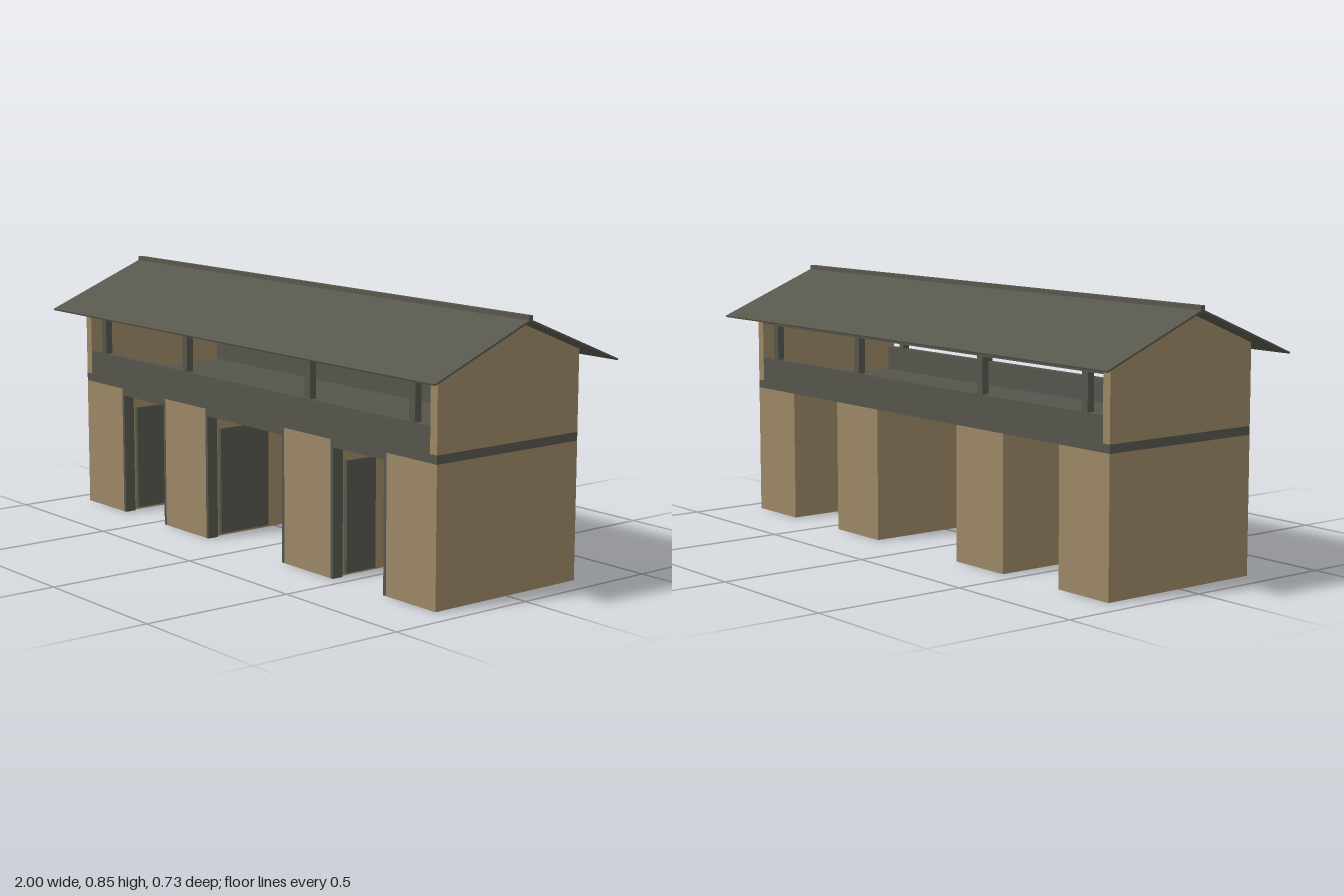
import * as THREE from 'three';

const material = (name, color) => {
  const m = new THREE.MeshStandardMaterial({ color });
  m.name = name;
  return m;
};

export function createModel() {
  const model = new THREE.Group();
  model.name = 'gatehouse';
  const wall = material('ochre wall', 0x9b8764);
  const timber = material('dark timber', 0x55554d);
  const roofing = material('grey roof', 0x57574c);

  const add = (name, geometry, mat) => {
    const mesh = new THREE.Mesh(geometry, mat);
    mesh.name = name;
    model.add(mesh);
    return mesh;
  };
  // Box given by its lower and upper limits on each axis
  const box = (name, mat, x0, x1, y0, y1, z0, z1) => {
    const mesh = add(name, new THREE.BoxGeometry(x1 - x0, y1 - y0, z1 - z0), mat);
    mesh.position.set((x0 + x1) / 2, (y0 + y1) / 2, (z0 + z1) / 2);
    return mesh;
  };
  // Outline in (z, y), extruded along x from x0 to x1
  const slice = (name, mat, points, x0, x1) => {
    const shape = new THREE.Shape(points.map(([z, y]) => new THREE.Vector2(-z, y)));
    const g = new THREE.ExtrudeGeometry(shape, { depth: x1 - x0, bevelEnabled: false });
    g.rotateY(Math.PI / 2);
    g.translate(x0, 0, 0);
    return add(name, g, mat);
  };

  const depth = 0.283;

  // Four masonry piers and the floor they carry
  const piers = [[-0.92, -0.7], [-0.44, -0.21], [0.21, 0.44], [0.7, 0.92]];
  for (const [x0, x1] of piers) box('pier', wall, x0, x1, 0, 0.434, -depth, depth);
  box('floorSlab', timber, -0.92, 0.92, 0.434, 0.461, -depth, depth);

  // Three gateways: jambs, lintel, and a pair of leaves opened inward
  for (let i = 0; i < 3; i++) {
    const left = piers[i][1], right = piers[i + 1][0];
    const leaf = (right - left) / 2 - 0.015;
    box('gateLintel', timber, left, right, 0.41, 0.434, 0.245, depth);
    for (const [x, s] of [[left, 1], [right, -1]]) {
      const span = (a, b) => [x + s * a, x + s * b].sort((p, q) => p - q);
      box('gateJamb', timber, ...span(0, 0.012), 0, 0.41, 0.245, depth);
      box('gateLeaf', timber, ...span(0.009, 0.022), 0.012, 0.365, 0.237 - leaf, 0.237);
    }
  }

  // Gable end walls
  const gable = [[depth, 0.461], [depth, 0.714], [0, 0.829], [-depth, 0.714], [-depth, 0.461]];
  slice('gableWall', wall, gable, 0.89, 0.92);
  slice('gableWall', wall, gable, -0.92, -0.89);

  // Open gallery: parapets, posts and eaves beams on both long sides
  for (const s of [1, -1]) {
    const z = s * 0.27;
    box('parapet', timber, -0.89, 0.89, 0.461, 0.542, z - 0.013, z + 0.013);
    box('eavesBeam', timber, -0.89, 0.89, 0.66, 0.695, z - 0.013, z + 0.013);
    for (const x of [-0.81, -0.325, 0.325, 0.81])
      box('galleryPost', timber, x - 0.013, x + 0.013, 0.542, 0.66, z - 0.012, z + 0.012);
  }

  // Thin pitched roof and ridge cap
  slice('roof', roofing, [
    [0, 0.836], [0.367, 0.686], [0.365, 0.681], [0, 0.829], [-0.365, 0.681], [-0.367, 0.686],
  ], -1, 1);
  box('ridgeCap', roofing, -1, 1, 0.832, 0.847, -0.008, 0.008);

  return model;
}
